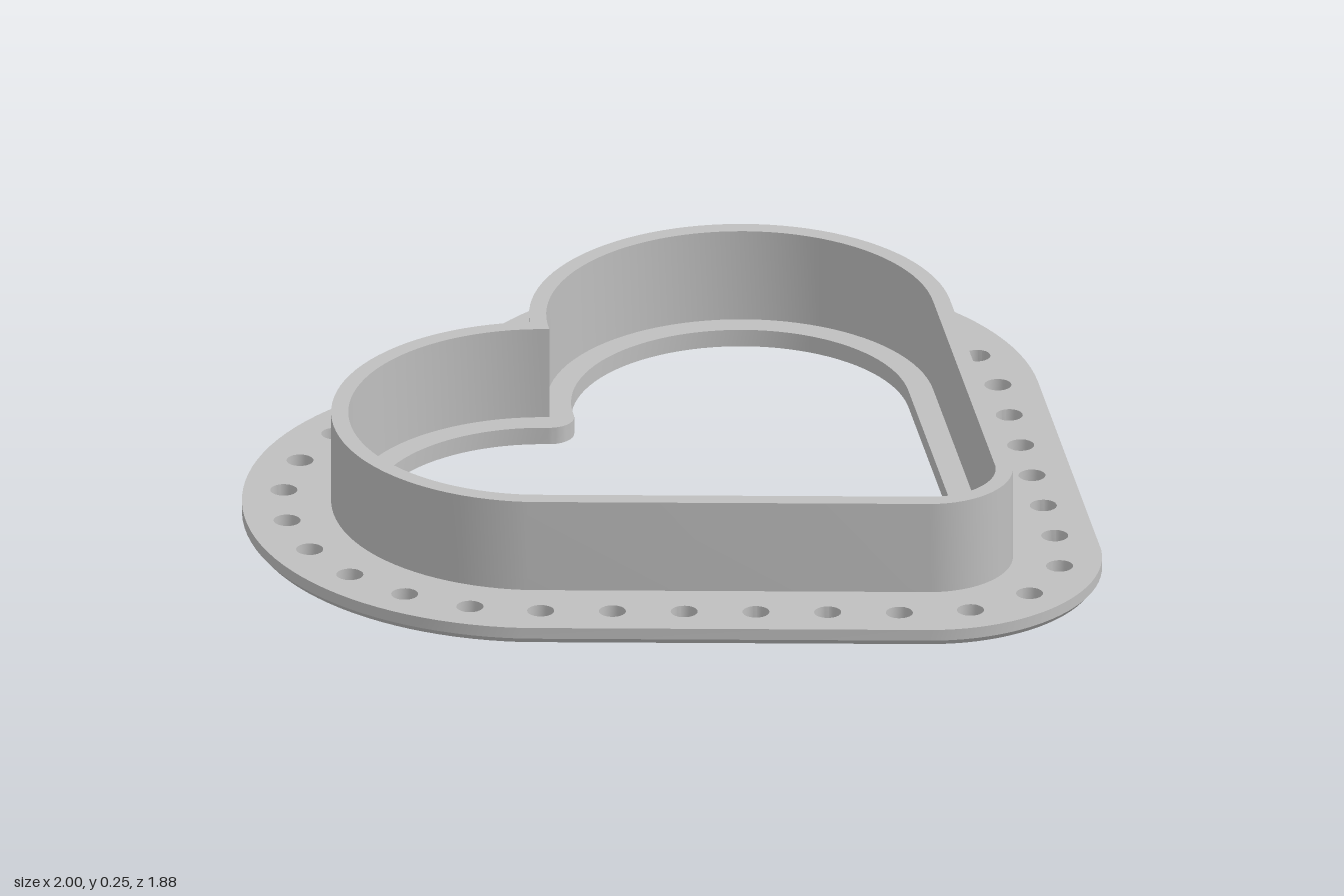
import * as THREE from 'three';
import { mergeGeometries, toCreasedNormals } from 'three/addons/utils/BufferGeometryUtils.js';

const LOBE_X = 0.335, LOBE_Y = 0.28, TIP_Y = -0.56;
const PLATE_TOP = 0.04, CHAMFER = 0.014, WALL_TOP = 0.255;

// points along an arc; the end point is left to the next arc
function arc(cx, cy, r, a0, a1, n) {
  return Array.from({ length: n }, (_, i) => {
    const a = a0 + (a1 - a0) * i / n;
    return new THREE.Vector2(cx + r * Math.cos(a), cy + r * Math.sin(a));
  });
}

// counter-clockwise heart from its tip: r = lobe radius, fillet = rounding of the cleft
function heart(r, fillet = 0) {
  const tipR = r - 0.285;
  const dist = Math.hypot(LOBE_X, LOBE_Y - TIP_Y);
  const side = Math.atan2(TIP_Y - LOBE_Y, -LOBE_X) + Math.acos((r - tipR) / dist);
  const cleft = Math.acos(-LOBE_X / (r + fillet));
  const filletY = LOBE_Y + Math.sqrt((r + fillet) ** 2 - LOBE_X ** 2);
  return [
    ...arc(0, TIP_Y, tipR, -Math.PI / 2, side, 12),
    ...arc(LOBE_X, LOBE_Y, r, side, cleft, 48),
    ...(fillet ? arc(0, filletY, fillet, cleft - Math.PI, -cleft, 12) : []),
    ...arc(-LOBE_X, LOBE_Y, r, Math.PI - cleft, Math.PI - side, 48),
    ...arc(0, TIP_Y, tipR, Math.PI - side, Math.PI * 1.5, 12),
  ];
}

// side surface between two matching loops
function strip(low, y0, high, y1) {
  const pos = [];
  low.forEach((a, i) => {
    const j = (i + 1) % low.length;
    const b = low[j], c = high[j], d = high[i];
    pos.push(a.x, y0, -a.y, b.x, y0, -b.y, c.x, y1, -c.y);
    pos.push(a.x, y0, -a.y, c.x, y1, -c.y, d.x, y1, -d.y);
  });
  return new THREE.BufferGeometry().setAttribute('position', new THREE.Float32BufferAttribute(pos, 3));
}

function shapeOf(outer, holes) {
  const shape = new THREE.Shape(outer);
  shape.holes = holes.map(h => new THREE.Path(h));
  return shape;
}

// flat face at height y, looking up or down
function face(outer, holes, y, down) {
  const g = new THREE.ShapeGeometry(shapeOf(outer, holes));
  if (down) g.index.array.reverse();
  g.rotateX(-Math.PI / 2).translate(0, y, 0);
  const flat = g.toNonIndexed();
  flat.deleteAttribute('normal');
  flat.deleteAttribute('uv');
  return flat;
}

export function createModel() {
  const group = new THREE.Group();
  const grey = new THREE.MeshStandardMaterial({ color: 0xbfbfbf });
  grey.name = 'grey';
  const add = (name, geometry) => {
    const mesh = new THREE.Mesh(toCreasedNormals(geometry, Math.PI / 6), grey);
    mesh.name = name;
    group.add(mesh);
  };

  // flange with a chamfered lower edge, heart opening and a ring of 35 holes
  const rim = heart(0.665, 0.075), foot = heart(0.653, 0.087);
  const ring = new THREE.Shape(heart(0.575));
  ring.closePath();
  const holes = ring.getSpacedPoints(35).slice(0, 35)
    .map(p => arc(p.x, p.y, 0.03, 0, Math.PI * 2, 20));
  holes.push(heart(0.375, 0.055));
  add('flange', mergeGeometries([
    face(rim, holes, PLATE_TOP, false),
    face(foot, holes, 0, true),
    strip(foot, 0, rim, CHAMFER),
    strip(rim, CHAMFER, rim, PLATE_TOP),
    ...holes.map(h => {
      const inward = [...h].reverse();
      return strip(inward, 0, inward, PLATE_TOP);
    }),
  ]));

  // upright heart wall
  const wall = new THREE.ExtrudeGeometry(shapeOf(heart(0.468), [heart(0.43)]),
    { depth: WALL_TOP - PLATE_TOP, bevelEnabled: false });
  wall.rotateX(-Math.PI / 2).translate(0, PLATE_TOP, 0);
  add('wall', wall);

  return group;
}
